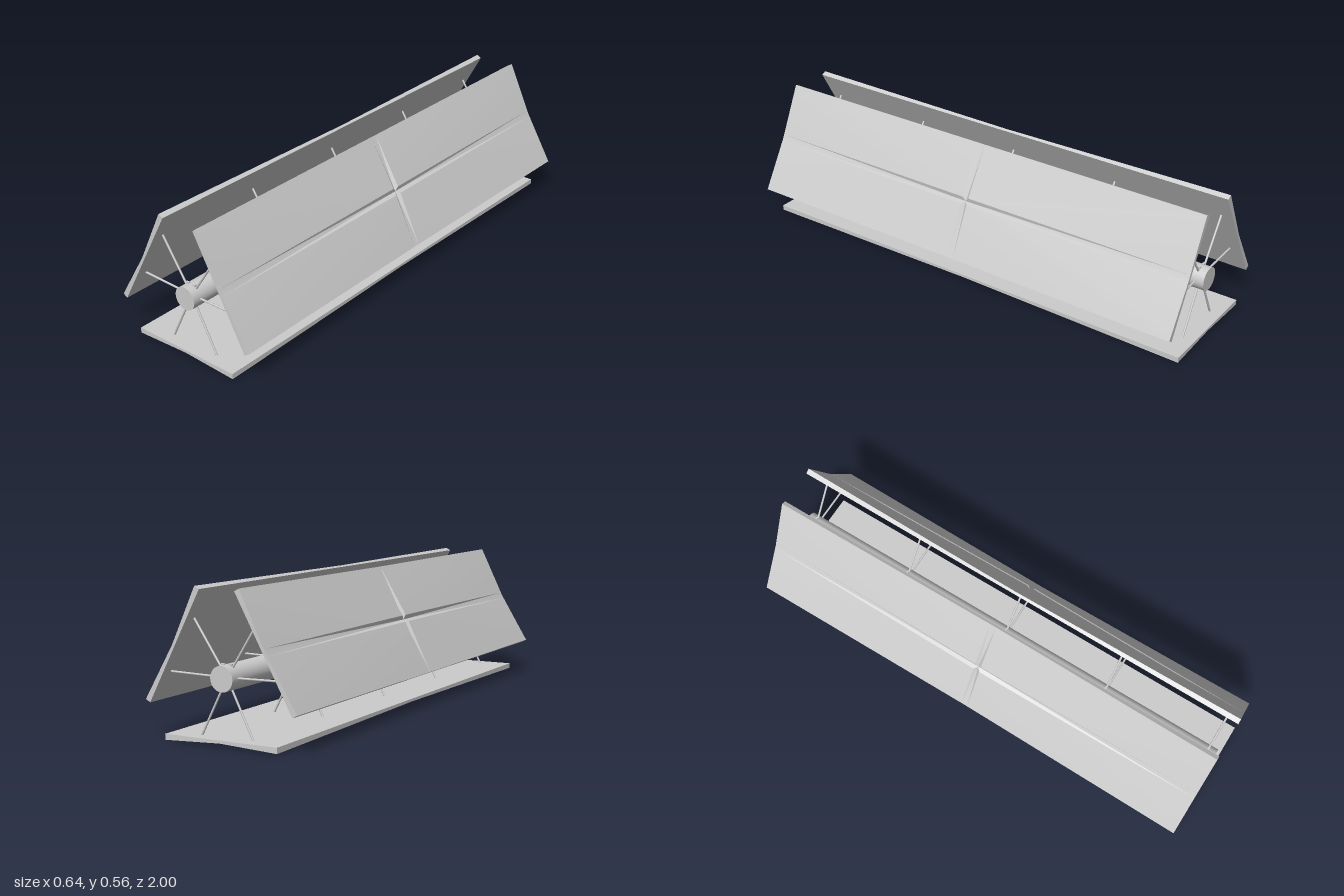
import * as THREE from 'three';
import { toCreasedNormals } from 'three/addons/utils/BufferGeometryUtils.js';

const grey = new THREE.MeshStandardMaterial({ color: 0xcccccc });
const CORE_Y = 0.2375, CORE_R = 0.047;
const HALF_W = 0.2375, THICK = 0.022, VALLEY = 0.011, LIP = 0.014;

// Slab with four raised quadrants parted by a cross-shaped groove; inner face at y = 0, outward is +y
function panelGeometry() {
  const xs = [-HALF_W, -LIP, 0, LIP, HALF_W];
  const zs = [-1, -LIP, 0, LIP, 1];
  // Full thickness at the corners and at the lips round the crossing, thinner elsewhere
  const height = (i, j) => {
    const u = Math.abs(i - 2), v = Math.abs(j - 2);
    return u === v && u > 0 ? THICK : VALLEY + (u && v ? 0.0005 : 0);
  };
  const top = (i, j) => [xs[i], height(i, j), zs[j]];
  const base = (i, j) => [xs[i], 0, zs[j]];
  const pos = [];
  const quad = (a, b, c, d) => pos.push(...a, ...b, ...c, ...a, ...c, ...d);

  // Outer face, each cell split along the diagonal that points at the crossing
  for (let i = 0; i < 4; i++) {
    for (let j = 0; j < 4; j++) {
      const a = top(i, j), b = top(i + 1, j), c = top(i + 1, j + 1), d = top(i, j + 1);
      if ((i < 2) === (j < 2)) quad(a, d, c, b);
      else quad(d, c, b, a);
    }
  }
  // Rim
  for (let k = 0; k < 4; k++) {
    quad(base(k, 4), base(k + 1, 4), top(k + 1, 4), top(k, 4));
    quad(base(k + 1, 0), base(k, 0), top(k, 0), top(k + 1, 0));
    quad(base(4, k + 1), base(4, k), top(4, k), top(4, k + 1));
    quad(base(0, k), base(0, k + 1), top(0, k + 1), top(0, k));
  }
  // Inner face
  quad(base(0, 0), base(4, 0), base(4, 4), base(0, 4));

  const g = new THREE.BufferGeometry();
  g.setAttribute('position', new THREE.Float32BufferAttribute(pos, 3));
  return toCreasedNormals(g, 0.4);
}

// Rod between two points
function rod(from, to, radius, name) {
  const dir = to.clone().sub(from);
  const mesh = new THREE.Mesh(new THREE.CylinderGeometry(radius, radius, dir.length(), 10), grey);
  mesh.position.copy(from).addScaledVector(dir, 0.5);
  mesh.quaternion.setFromUnitVectors(new THREE.Vector3(0, 1, 0), dir.normalize());
  mesh.name = name;
  return mesh;
}

export function createModel() {
  const model = new THREE.Group();
  model.name = 'threePanelTruss';

  // Central tube
  const core = new THREE.Mesh(new THREE.CylinderGeometry(CORE_R, CORE_R, 1.97, 40), grey);
  core.rotation.x = Math.PI / 2;
  core.position.y = CORE_Y;
  core.name = 'centralTube';
  model.add(core);

  // Three long panels: centre of the inner face and turn about z
  const geometry = panelGeometry();
  const deg = Math.PI / 180;
  const panels = [
    ['bottomPanel', 0, 0.0238, 179.57],
    ['rightPanel', -0.185, 0.341, 61],
    ['leftPanel', 0.19, 0.339, -61.9],
  ];
  for (const [name, x, y, angle] of panels) {
    const panel = new THREE.Mesh(geometry, grey);
    panel.position.set(x, y, 0);
    panel.rotation.z = angle * deg;
    panel.name = name;
    model.add(panel);
  }

  // Five rings of six struts, two to each panel
  const ends = [[-0.109, 0.022], [0.112, 0.022], [-0.242, 0.244], [0.245, 0.24], [-0.132, 0.441], [0.138, 0.439]];
  for (const z of [-0.95, -0.485, 0, 0.475, 0.95]) {
    const ring = new THREE.Group();
    ring.name = 'strutRing';
    for (const [x, y] of ends) {
      const out = new THREE.Vector3(x, y - CORE_Y, 0).setLength(CORE_R - 0.006);
      const from = new THREE.Vector3(out.x, CORE_Y + out.y, z);
      ring.add(rod(from, new THREE.Vector3(x, y, z), 0.0042, 'strut'));
    }
    // Small cleats on top of the tube
    for (const s of [-1, 1]) {
      const cleat = new THREE.Mesh(new THREE.BoxGeometry(0.014, 0.008, 0.008), grey);
      cleat.position.set(s * 0.016, CORE_Y + CORE_R - 0.001, z);
      cleat.name = 'cleat';
      ring.add(cleat);
    }
    model.add(ring);
  }
  return model;
}
